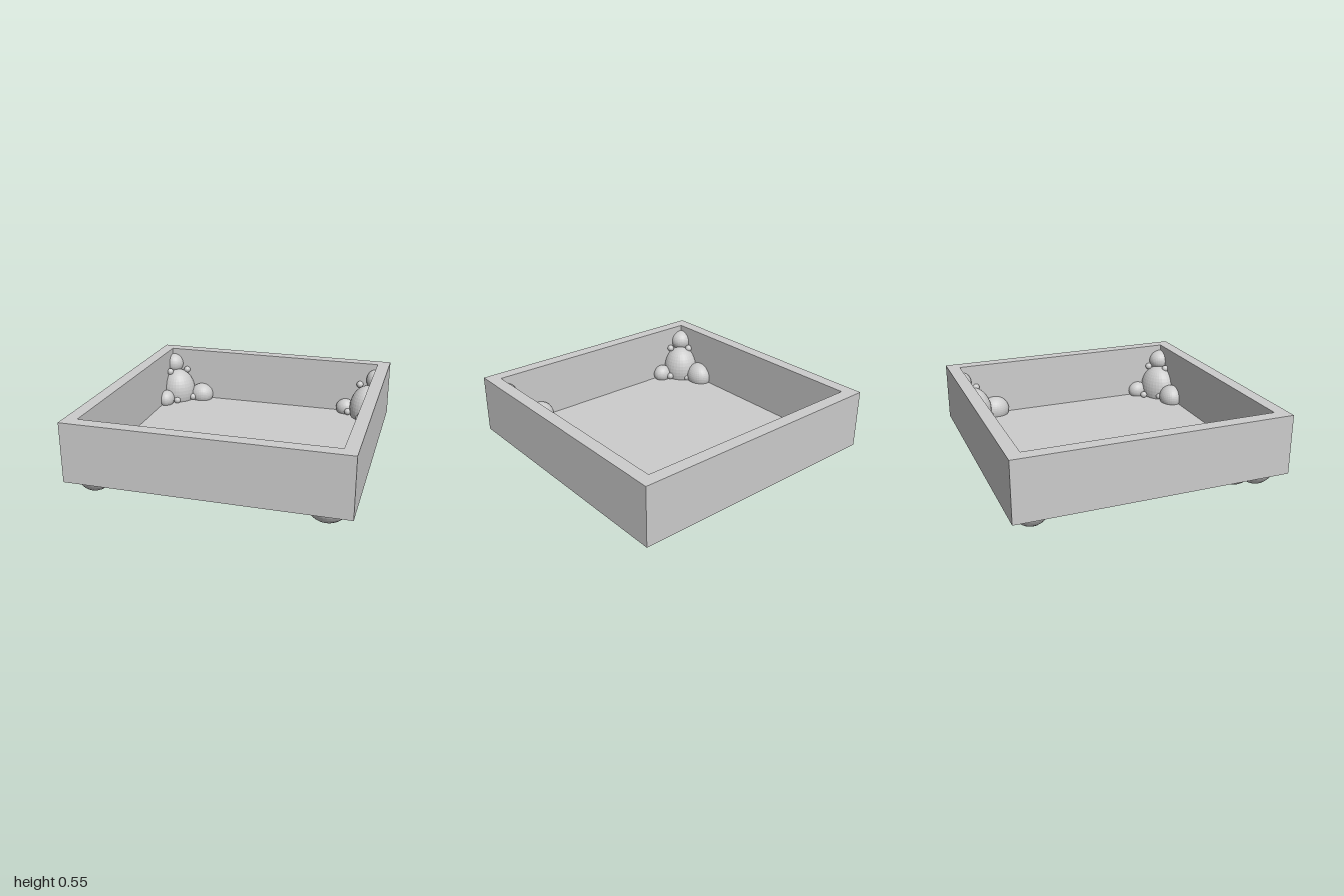
import * as THREE from 'three';

const OUTER = 1, INNER = 0.905, BASE = 0.11, TOP = 0.55, FLOOR = 0.12;

// Square frame with a square opening, standing on BASE
function wallGeometry() {
  const square = (r, Type) => new Type([
    new THREE.Vector2(-r, -r), new THREE.Vector2(r, -r),
    new THREE.Vector2(r, r), new THREE.Vector2(-r, r),
  ]);
  const shape = square(OUTER, THREE.Shape);
  shape.holes.push(square(INNER, THREE.Path));
  const geometry = new THREE.ExtrudeGeometry(shape, { depth: TOP - BASE, bevelEnabled: false });
  return geometry.rotateX(-Math.PI / 2).translate(0, BASE, 0);
}

// Faceted unit sphere shared by every bubble
function bubbleGeometry() {
  const geometry = new THREE.SphereGeometry(1, 32, 20).toNonIndexed();
  geometry.computeVertexNormals();
  return geometry;
}

// Per corner: main bubble x, z, radii and turn; side bubbles' distance along each wall and radius
const corners = [
  { name: 'backLeftBubbles', sx: 1, sz: -1, x: 0.845, z: 0.83, rx: 0.143, rz: 0.15, turn: 0,
    alongX: 0.66, radiusX: 0.08, alongZ: 0.635, radiusZ: 0.115, topRadius: 0.068 },
  { name: 'frontRightBubbles', sx: -1, sz: 1, x: 0.838, z: 0.83, rx: 0.145, rz: 0.153, turn: 0,
    alongX: 0.66, radiusX: 0.08, alongZ: 0.635, radiusZ: 0.12, topRadius: 0.09 },
  { name: 'backRightBubbles', sx: -1, sz: -1, x: 0.838, z: 0.838, rx: 0.147, rz: 0.147, turn: 0,
    alongX: 0.63, radiusX: 0.1, alongZ: 0.66, radiusZ: 0.08, topRadius: 0.08 },
  { name: 'frontLeftBubbles', sx: 1, sz: 1, x: 0.82, z: 0.85, rx: 0.167, rz: 0.135, turn: 0.3,
    alongX: 0.61, radiusX: 0.11, alongZ: 0.675, radiusZ: 0.08, topRadius: 0.092 },
];

// Tiny bubbles sit in the seams: two near the floor, two below the top bubble
const seams = [[0.69, 0.15, 0.8], [0.8, 0.14, 0.7], [0.89, 0.37, 0.785], [0.77, 0.37, 0.89]];

export function createModel() {
  const model = new THREE.Group();
  model.name = 'tray';
  const grey = new THREE.MeshStandardMaterial({ color: 0xcccccc });
  grey.name = 'light grey';

  // Tray walls and thin floor
  const walls = new THREE.Mesh(wallGeometry(), grey);
  walls.name = 'walls';
  const floor = new THREE.Mesh(new THREE.BoxGeometry(2 * INNER, FLOOR - BASE, 2 * INNER), grey);
  floor.name = 'floor';
  floor.position.y = (FLOOR + BASE) / 2;
  model.add(walls, floor);

  // Bubble clusters that fill the corners and poke through the floor as feet
  const geometry = bubbleGeometry();
  for (const c of corners) {
    const cluster = new THREE.Group();
    cluster.name = c.name;
    const addBubble = (name, x, y, z, rx, ry, rz) => {
      const bubble = new THREE.Mesh(geometry, grey);
      bubble.name = name;
      bubble.position.set(c.sx * x, y, c.sz * z);
      bubble.scale.set(rx, ry, rz);
      cluster.add(bubble);
      return bubble;
    };
    const main = addBubble('mainBubble', c.x, 0.19, c.z, c.rx, 0.19, c.rz);
    main.rotation.y = c.turn;
    addBubble('topBubble', 0.89, 0.42, 0.89, c.topRadius, 0.085, c.topRadius);
    // Side bubbles are slightly flattened against their wall
    const flatX = 0.88 * c.radiusX, flatZ = 0.83 * c.radiusZ;
    addBubble('sideBubbleX', c.alongX, 0.16, 0.875, c.radiusX, 0.93 * c.radiusX, flatX);
    addBubble('sideBubbleZ', 0.885, 0.16, c.alongZ, flatZ, 0.93 * c.radiusZ, c.radiusZ);
    for (const [x, y, z] of seams) addBubble('tinyBubble', x, y, z, 0.028, 0.028, 0.028);
    model.add(cluster);
  }
  return model;
}
